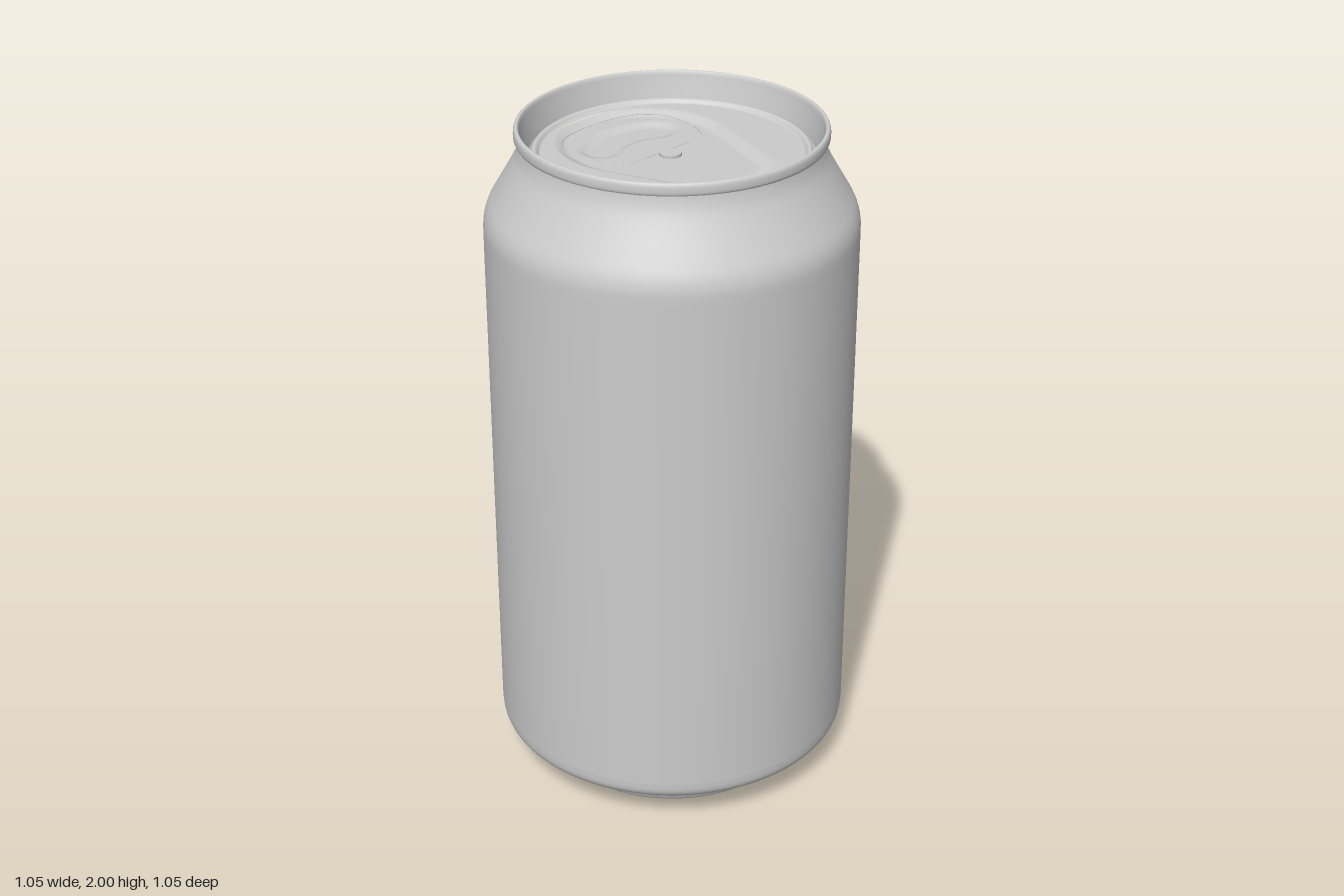
import * as THREE from 'three';

const SEGMENTS = 96;
const PANEL_Y = 1.92;
const material = new THREE.MeshStandardMaterial({ color: 0xcccccc });

function add(group, name, geometry) {
  const mesh = new THREE.Mesh(geometry, material);
  mesh.name = name;
  group.add(mesh);
  return mesh;
}

const points = (list) => list.map(([x, y]) => new THREE.Vector2(x, y));

// Smooth profile through [radius, height] points, revolved about y
function turned(list, samples) {
  const profile = new THREE.SplineCurve(points(list)).getPoints(samples);
  profile.forEach((p) => { p.x = Math.max(p.x, 0); });
  return new THREE.LatheGeometry(profile, SEGMENTS);
}

const smooth = (d, width) => 1 - THREE.MathUtils.smoothstep(d, -width, width);

// Distance to a tapered capsule lying along z (circles r1 at z1 and r2 at z2)
function taperedCapsule(x, z, z1, r1, z2, r2) {
  const h = z2 - z1, px = Math.abs(x), pz = z - z1;
  const b = (r1 - r2) / h, a = Math.sqrt(1 - b * b);
  const k = -b * px + a * pz;
  if (k < 0) return Math.hypot(px, pz) - r1;
  if (k > a * h) return Math.hypot(px, pz - h) - r2;
  return px * a + pz * b - r1;
}

// Distance to a thick arc centred on the origin, opening towards +z
function bean(x, z, radius, halfAngle, thickness) {
  const angle = THREE.MathUtils.clamp(Math.atan2(x, -z), -halfAngle, halfAngle);
  return Math.hypot(x - radius * Math.sin(angle), z + radius * Math.cos(angle)) - thickness;
}

// Height of the pressed lid panel
function panelHeight(x, z) {
  let y = PANEL_Y;
  y -= 0.014 * smooth(taperedCapsule(x, z, -0.11, 0.23, 0.21, 0.125), 0.02);
  y -= 0.01 * smooth(bean(x, z, 0.2, 0.55, 0.052), 0.018);
  const slotX = Math.max(Math.abs(x) - 0.07, 0);
  const slotZ = z - 0.27 + 1.2 * x * x;
  y -= 0.009 * smooth(Math.hypot(slotX, slotZ) - 0.014, 0.014);
  return y;
}

// Thin raised line following the panel surface
function scoreLine(outline) {
  const path = new THREE.CatmullRomCurve3(
    outline.map(([x, z]) => new THREE.Vector3(x, panelHeight(x, z), z)));
  return new THREE.TubeGeometry(path, 90, 0.002, 6);
}

export function createModel() {
  const model = new THREE.Group();
  model.name = 'drinkCan';

  // Concave underside and the ring it stands on
  add(model, 'baseDome', turned([
    [0, 0.17], [0.1, 0.163], [0.2, 0.138], [0.29, 0.092], [0.34, 0.045], [0.36, 0.012], [0.367, 0.002],
  ], 40));
  add(model, 'baseRing', turned([
    [0.367, 0.002], [0.372, 0], [0.38, 0.001], [0.387, 0.008],
  ], 10));

  // Foot, straight wall, shoulder and neck
  add(model, 'foot', turned([
    [0.387, 0.008], [0.398, 0.03], [0.413, 0.058], [0.44, 0.079],
    [0.48, 0.095], [0.508, 0.112], [0.52, 0.132], [0.523, 0.16],
  ], 36));
  add(model, 'wall', new THREE.LatheGeometry(points([[0.523, 0.16], [0.523, 1.7]]), SEGMENTS));
  add(model, 'shoulder', turned([
    [0.523, 1.7], [0.521, 1.735], [0.51, 1.772], [0.483, 1.82],
    [0.452, 1.873], [0.43, 1.915], [0.42, 1.945], [0.416, 1.968],
  ], 36));

  // Rolled rim
  add(model, 'rimUnderside', new THREE.LatheGeometry(points([[0.416, 1.965], [0.429, 1.965]]), SEGMENTS));
  add(model, 'rim', turned([
    [0.429, 1.965], [0.432, 1.972], [0.432, 1.988], [0.429, 1.997],
    [0.424, 2], [0.419, 1.998], [0.416, 1.99],
  ], 24));

  // Inner wall, countersunk groove and raised bead around the panel
  add(model, 'lidEdge', turned([
    [0.416, 1.99], [0.412, 1.97], [0.402, 1.925], [0.398, 1.908], [0.392, 1.902],
    [0.387, 1.91], [0.384, 1.926], [0.378, 1.931], [0.371, 1.929],
    [0.363, 1.921], [0.355, PANEL_Y], [0.35, PANEL_Y],
  ], 60));

  // Lid panel with the pressed recesses
  const panel = new THREE.RingGeometry(0.001, 0.35, 160, 90);
  panel.rotateX(-Math.PI / 2);
  const position = panel.attributes.position;
  for (let i = 0; i < position.count; i++) {
    position.setY(i, panelHeight(position.getX(i), position.getZ(i)));
  }
  panel.computeVertexNormals();
  add(model, 'lidPanel', panel);

  // Score around the opening, and the hinge line behind the rivet
  add(model, 'openingScore', scoreLine([
    [-0.07, -0.036], [-0.12, -0.045], [-0.17, -0.082], [-0.2, -0.13], [-0.205, -0.18],
    [-0.185, -0.24], [-0.14, -0.285], [-0.08, -0.311], [0, -0.319], [0.08, -0.311],
    [0.14, -0.285], [0.185, -0.24], [0.205, -0.18], [0.2, -0.11], [0.175, -0.055], [0.172, -0.035],
  ]));
  add(model, 'hingeLine', scoreLine([[-0.07, -0.036], [0, -0.036], [0.105, -0.036]]));

  // Rivet
  const rivet = add(model, 'rivet', new THREE.CylinderGeometry(0.031, 0.031, 0.012, 40));
  rivet.position.set(0, panelHeight(0, -0.006) + 0.002, -0.006);

  return model;
}
